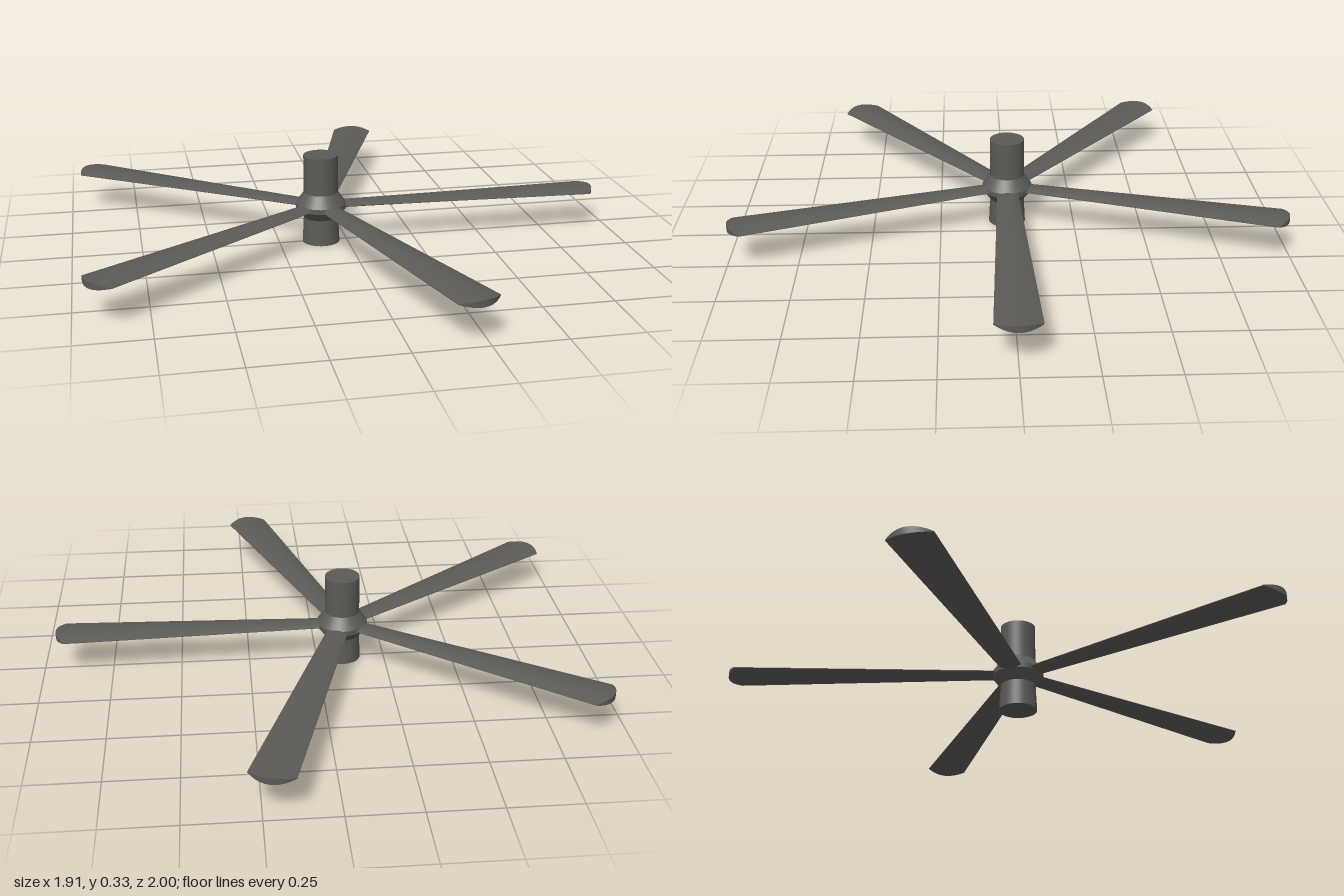
import * as THREE from 'three';

const HUB_X = -0.095;
const BLADE_Y = 0.139;

// Tapered blade with a thin lens section and a rounded tip, pointing along +x
function bladeGeometry() {
  const across = 10, along = 4, rootR = 0.03, pos = [], idx = [];
  const edge = (s, t, side) => {
    const half = 0.037 + 0.041 * t;
    const tipR = 1.045 - 0.033 * s * s;
    return [rootR + t * (tipR - rootR), side * 0.011 * (1 - s * s) + side * 0.001, s * half];
  };
  // Each patch owns its vertices, so edges between patches stay sharp
  const patch = (nu, nv, fn, flip) => {
    const base = pos.length / 3;
    for (let i = 0; i <= nu; i++) for (let j = 0; j <= nv; j++) pos.push(...fn(i / nu, j / nv));
    for (let i = 0; i < nu; i++) for (let j = 0; j < nv; j++) {
      const a = base + i * (nv + 1) + j, b = a + 1, c = a + nv + 1, d = c + 1;
      if (flip) idx.push(a, c, b, b, c, d);
      else idx.push(a, b, c, b, d, c);
    }
  };
  patch(along, across, (u, v) => edge(2 * v - 1, u, 1), false); // top
  patch(along, across, (u, v) => edge(2 * v - 1, u, -1), true); // underside
  patch(1, across, (u, v) => edge(2 * v - 1, 1, 1 - 2 * u), false); // tip
  patch(1, along, (u, v) => edge(1, v, 1 - 2 * u), true); // long edges
  patch(1, along, (u, v) => edge(-1, v, 1 - 2 * u), false);
  const g = new THREE.BufferGeometry();
  g.setAttribute('position', new THREE.Float32BufferAttribute(pos, 3));
  g.setIndex(idx);
  g.computeVertexNormals();
  return g;
}

export function createModel() {
  const group = new THREE.Group();
  group.name = 'ceilingFan';
  const metal = new THREE.MeshStandardMaterial({ color: 0x5c5a57 });
  metal.name = 'dark grey';

  // Hub: stacked round sections [name, bottom y, top y, bottom radius, top radius]
  const hub = new THREE.Group();
  hub.name = 'hub';
  hub.position.x = HUB_X;
  const sections = [
    ['lowerHousing', 0, 0.1, 0.068, 0.063],
    ['lowerCollar', 0.095, 0.13, 0.063, 0.092],
    ['collarBand', 0.13, 0.148, 0.092, 0.092],
    ['upperCollar', 0.148, 0.19, 0.092, 0.063],
    ['upperHousing', 0.185, 0.33, 0.063, 0.063],
  ];
  for (const [name, y0, y1, r0, r1] of sections) {
    const mesh = new THREE.Mesh(new THREE.CylinderGeometry(r1, r0, y1 - y0, 40), metal);
    mesh.name = name;
    mesh.position.y = (y0 + y1) / 2;
    hub.add(mesh);
  }
  group.add(hub);

  // Five blades, evenly spaced
  const geometry = bladeGeometry();
  for (let i = 0; i < 5; i++) {
    const blade = new THREE.Mesh(geometry, metal);
    blade.name = 'blade' + (i + 1);
    blade.position.set(HUB_X, BLADE_Y, 0);
    blade.rotation.y = (i * Math.PI * 2) / 5;
    group.add(blade);
  }
  return group;
}
